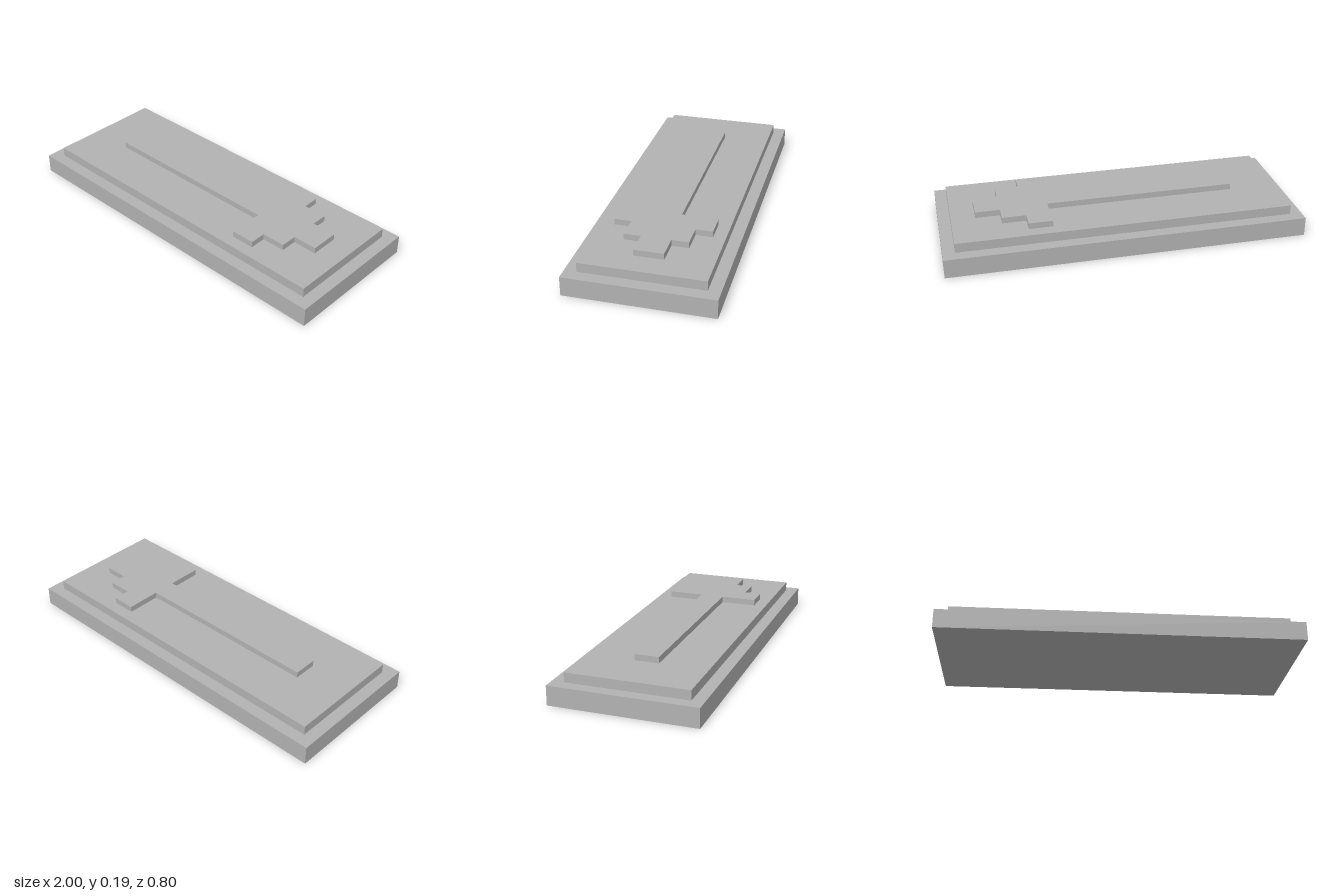
import * as THREE from 'three';

export function createModel() {
  const group = new THREE.Group();
  const grey = new THREE.MeshStandardMaterial({ color: 0xb2b2b2 });
  grey.name = 'plain grey';

  function add(name, geometry, y) {
    const mesh = new THREE.Mesh(geometry, grey);
    mesh.name = name;
    mesh.position.y = y;
    group.add(mesh);
  }

  // Stepped button: wide base with a smaller raised panel
  const baseTop = 0.107, panelTop = 0.16, arrowTop = 0.194;
  add('base', new THREE.BoxGeometry(2, baseTop, 0.8), baseTop / 2);
  add('raisedPanel', new THREE.BoxGeometry(1.867, panelTop - baseTop, 0.667), (baseTop + panelTop) / 2);

  // Raised arrow pointing to +x: half outline, mirrored across its long axis
  const half = [
    [-0.667, 0.067], [0.4, 0.067], [0.4, 0.266], [0.532, 0.266],
    [0.532, 0.173], [0.664, 0.173], [0.664, 0.08], [0.8, 0.08],
  ];
  const mirrored = half.map(([x, z]) => [x, -z]).reverse();
  const outline = new THREE.Shape([...half, ...mirrored].map(([x, z]) => new THREE.Vector2(x, z)));
  const arrow = new THREE.ExtrudeGeometry(outline, { depth: arrowTop - panelTop, bevelEnabled: false });
  arrow.rotateX(-Math.PI / 2);
  add('steppedArrow', arrow, panelTop);

  return group;
}
